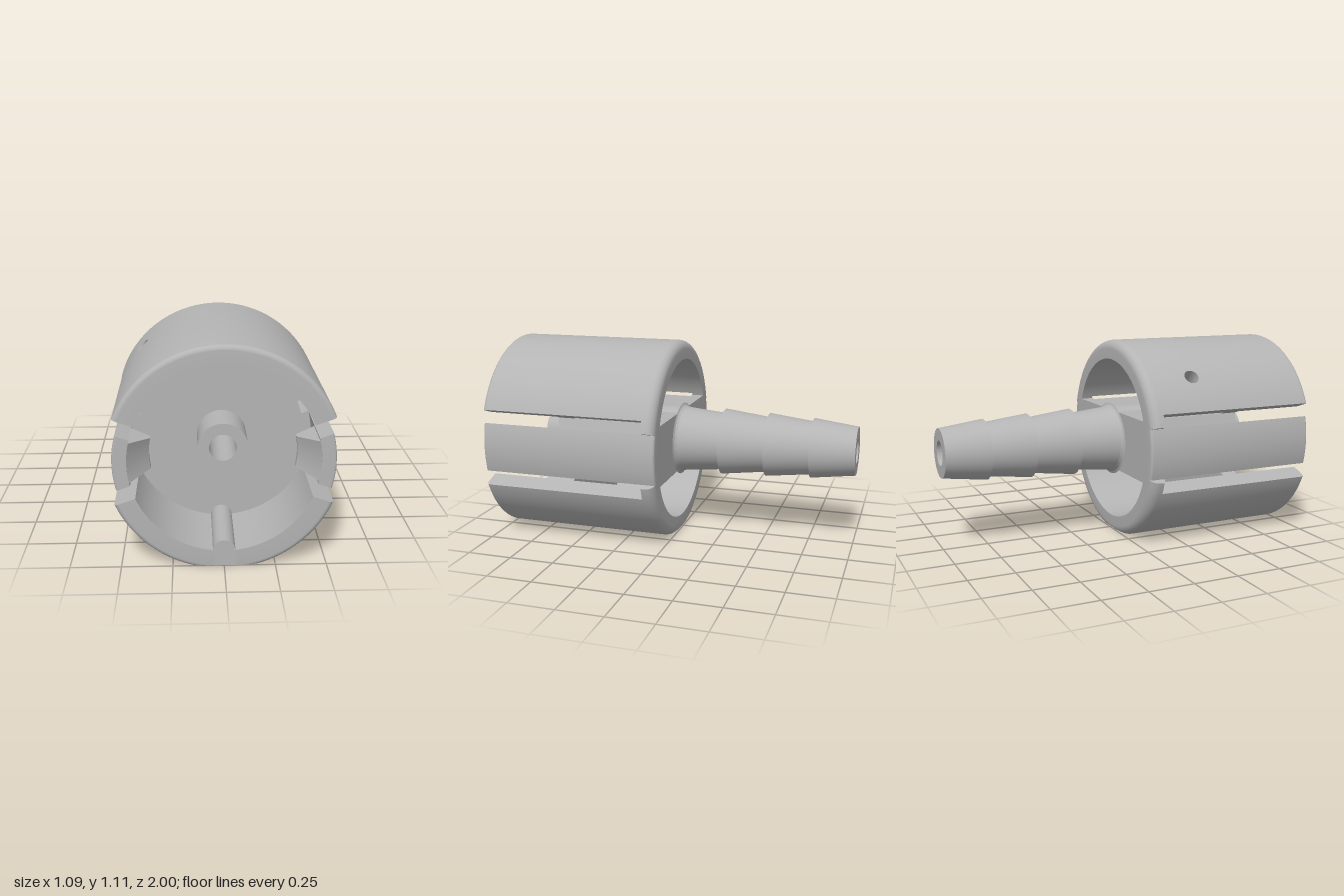
import * as THREE from 'three';
import { toCreasedNormals } from 'three/addons/utils/BufferGeometryUtils.js';

const grey = new THREE.MeshStandardMaterial({ color: 0xb4b4b4 });
grey.name = 'grey plastic';

const CY = 0.54;            // height of the axis
const R = 0.567, RI = 0.46; // cup wall radii
const RA = 0.53;            // outer radius of the spring arms
const RS = 0.422;           // radius of the slot floor
const SLOT_END = 0.07;
const rad = (d) => d * Math.PI / 180;
const SLOT = rad(18.8);     // slot angle above and below the sides
const half = (r) => Math.asin(0.0345 / r); // parallel slot walls
const polar = (r, a) => new THREE.Vector2(r * Math.cos(a), r * Math.sin(a));

export function createModel() {
  const model = new THREE.Group();
  model.name = 'hoseConnector';

  function add(name, geometry) {
    const mesh = new THREE.Mesh(toCreasedNormals(geometry, 0.25), grey);
    mesh.name = name;
    mesh.position.y = CY;
    model.add(mesh);
    return mesh;
  }

  function fromQuads(quads) {
    const pos = [];
    for (const [a, b, c, d] of quads) pos.push(...a, ...b, ...c, ...a, ...c, ...d);
    const g = new THREE.BufferGeometry();
    g.setAttribute('position', new THREE.Float32BufferAttribute(pos, 3));
    return g;
  }

  // Point on the cup, flattened along the underside
  const point = (r, a, z) => [r * Math.cos(a), Math.max(r * Math.sin(a), -CY), z];

  // Sweep a closed convex (r, z) profile between two angles that may depend on r
  function sector(name, profile, from, to) {
    const n = profile.length;
    const span = to(0.5) - from(0.5);
    const steps = Math.max(4, Math.ceil(span / rad(1.5)));
    const at = (i, k) => {
      const [r, z] = profile[i % n];
      return point(r, from(r) + (to(r) - from(r)) * k / steps, z);
    };
    const quads = [];
    for (let i = 0; i < n; i++)
      for (let k = 0; k < steps; k++)
        quads.push([at(i, k), at(i, k + 1), at(i + 1, k + 1), at(i + 1, k)]);
    for (let i = 1; i < n - 1; i++) {
      quads.push([at(0, 0), at(i, 0), at(i + 1, 0), at(i + 1, 0)]);
      quads.push([at(0, steps), at(i + 1, steps), at(i, steps), at(i, steps)]);
    }
    return add(name, fromQuads(quads));
  }

  // Wall profile with optional rounded back and front outer edges
  function wall(ri, ro, z0, z1, back, front) {
    const p = [[ri, z0]];
    const corner = (f, zc, a0) => {
      for (let i = 0; i <= 8; i++) {
        const a = a0 + i / 8 * Math.PI / 2;
        p.push([ro - f + f * Math.cos(a), zc + f * Math.sin(a)]);
      }
    };
    if (back) corner(back, z0 + back, -Math.PI / 2); else p.push([ro, z0]);
    if (front) corner(front, z1 - front, 0); else p.push([ro, z1]);
    p.push([ri, z1]);
    return p;
  }

  // Upper and lower cup walls; the upper one is split around a small vent
  const full = wall(RI, R, 0, 1, 0.05, 0.025);
  const upFrom = (r) => SLOT + half(r), upTo = (r) => Math.PI - upFrom(r);
  const vent = rad(136.5), VZ = 0.3, VH = 0.07, VR = 0.042;
  const v0 = () => vent - VH / R, v1 = () => vent + VH / R;
  sector('upperWallRight', full, upFrom, v0);
  sector('upperWallLeft', full, v1, upTo);
  sector('wallBehindVent', wall(RI, R, 0, VZ - VH, 0.05, 0), v0, v1);
  sector('wallBeforeVent', wall(RI, R, VZ + VH, 1, 0, 0.025), v0, v1);
  sector('lowerWall', full, (r) => Math.PI + upFrom(r), (r) => Math.PI + upTo(r));

  // Wall patch with the round vent
  const N = 32, patch = [];
  const ring = (k, square, r) => {
    const t = k / N * Math.PI * 2, c = Math.cos(t), s = Math.sin(t);
    const l = square ? VH / Math.max(Math.abs(c), Math.abs(s)) : VR;
    return point(r, vent + l * c / R, VZ + l * s);
  };
  for (let k = 0; k < N; k++) {
    const j = k + 1;
    patch.push([ring(k, 0, R), ring(k, 1, R), ring(j, 1, R), ring(j, 0, R)]);
    patch.push([ring(k, 0, RI), ring(j, 0, RI), ring(j, 1, RI), ring(k, 1, RI)]);
    patch.push([ring(k, 0, RI), ring(k, 0, R), ring(j, 0, R), ring(j, 0, RI)]);
  }
  add('ventPatch', fromQuads(patch));

  // Spring arms with inward catches, and the closed slot ends at the back
  for (const [side, base] of [['left', 0], ['right', Math.PI]]) {
    sector(side + 'Arm', wall(RI, RA, 0, 1, 0.015, 0.01),
      (r) => base - SLOT + half(r), (r) => base + SLOT - half(r));
    sector(side + 'Catch', [[0.47, 0.78], [0.47, 0.998], [RI, 0.998], [0.36, 0.87], [0.36, 0.84]],
      () => base - rad(12.5), () => base + rad(12.5));
    for (const s of [-1, 1])
      sector(side + 'SlotEnd', wall(RI, R, 0, SLOT_END, 0.05, 0),
        (r) => base + s * SLOT - half(r), (r) => base + s * SLOT + half(r));
  }

  // Flat plates across the cup
  function plate(name, points, hole, z0, z1) {
    const shape = new THREE.Shape(points);
    shape.holes.push(new THREE.Path().absarc(0, 0, hole, 0, Math.PI * 2, true));
    const g = new THREE.ExtrudeGeometry(shape, { depth: z1 - z0, bevelEnabled: false, curveSegments: 32 });
    add(name, g.translate(0, 0, z0));
  }
  const RO = RI + 0.002;
  const arc = (r, a, b) => Array.from({ length: 33 }, (_, i) => polar(r, a + (b - a) * i / 32));
  const notch = (c) => [polar(RS, c - half(RS)), polar(RS, c + half(RS))];
  const sideOutline = (base) => [
    ...notch(base - SLOT),
    ...arc(RO, base - SLOT + half(RO), base + SLOT - half(RO)),
    ...notch(base + SLOT)];
  const between = (base) => arc(RO, base + SLOT + half(RO), base + Math.PI - SLOT - half(RO));

  plate('cupFloor', [...sideOutline(0), ...between(0), ...sideOutline(Math.PI), ...between(Math.PI)],
    0.1, 0.51, 0.6);
  plate('crossWeb', [...sideOutline(0), ...sideOutline(Math.PI)], 0.15, SLOT_END, 0.51);
  const chord = Math.asin(RS * Math.sin(SLOT + half(RS)) / RO);
  plate('backBand', [...arc(RO, -chord, chord), ...arc(RO, Math.PI - chord, Math.PI + chord)],
    0.15, 0, SLOT_END);

  // Barbed hose tail, core and inner spigot with a through bore
  const profile = [
    [0.068, -1], [0.135, -1], [0.167, -0.755], [0.148, -0.755], [0.178, -0.505], [0.155, -0.505],
    [0.187, -0.25], [0.162, -0.25], [0.183, -0.035], [0.187, -0.018], [0.195, -0.006], [0.207, 0],
    [0.19, 0.001], [0.19, 0.55], [0.125, 0.55], [0.125, 0.81], [0.068, 0.81], [0.068, -1],
  ].map(([r, z]) => new THREE.Vector2(r, z));
  add('barbedTube', new THREE.LatheGeometry(profile, 72).rotateX(Math.PI / 2));

  // Round key ribs inside the cup mouth
  for (const s of [-1, 1]) {
    const g = new THREE.CylinderGeometry(0.055, 0.055, 0.408, 40).rotateX(Math.PI / 2);
    add(s > 0 ? 'upperRib' : 'lowerRib', g.translate(0, s * RI, 0.795));
  }
  return model;
}
